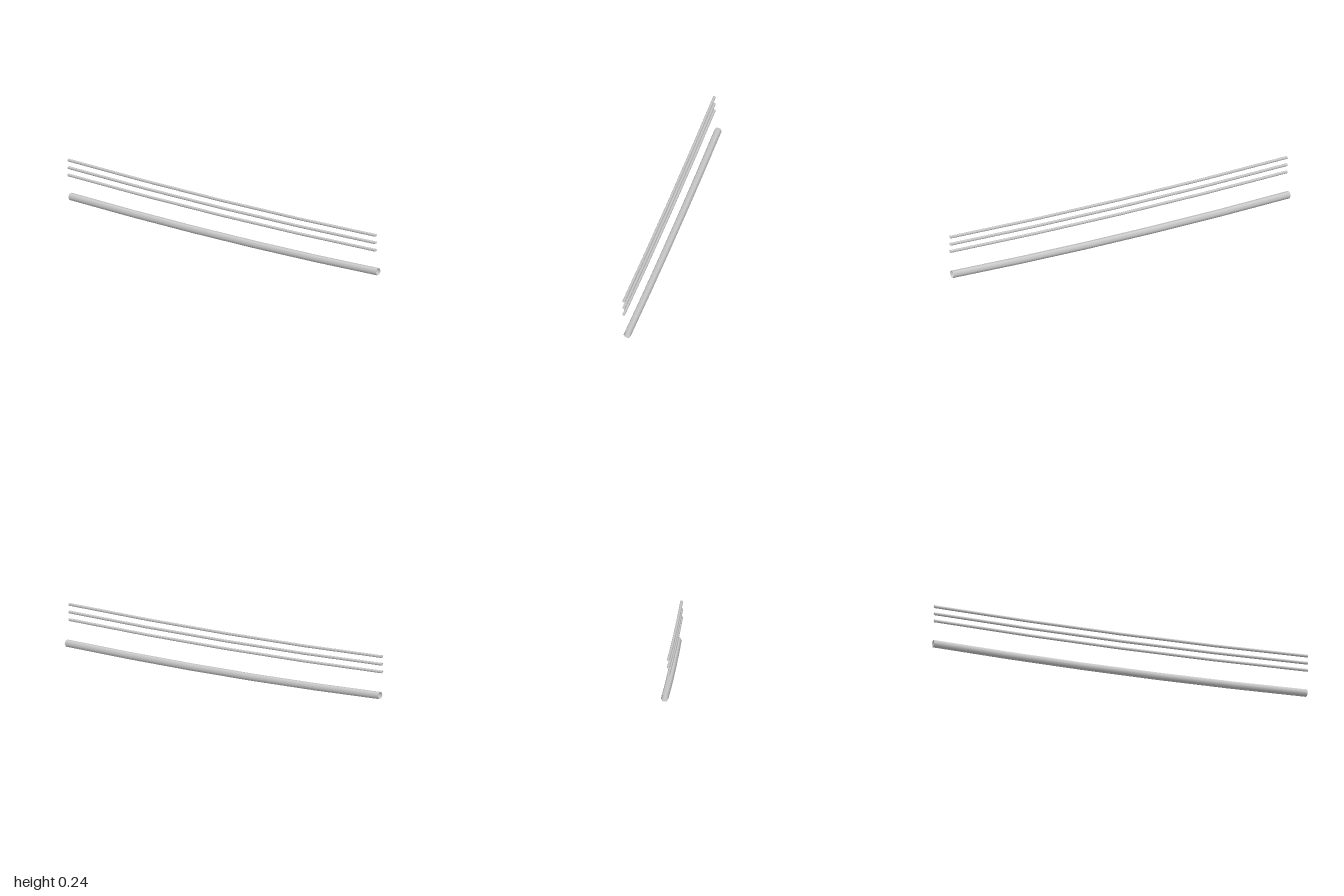
import * as THREE from 'three';

const material = new THREE.MeshStandardMaterial({ color: 0xcccccc, side: THREE.DoubleSide });

// Open six-sided tube along x that sags as a parabola towards its middle
function cable(name, radius, segments, endY, sag, z) {
  const geometry = new THREE.CylinderGeometry(radius, radius, 2, 6, segments, true);
  geometry.rotateZ(-Math.PI / 2);
  const p = geometry.attributes.position;
  for (let i = 0; i < p.count; i++) {
    const x = p.getX(i);
    p.setY(i, p.getY(i) + endY - sag * (1 - x * x));
  }
  const mesh = new THREE.Mesh(geometry, material);
  mesh.name = name;
  mesh.position.z = z;
  return mesh;
}

export function createModel() {
  const group = new THREE.Group();
  group.name = 'overheadCables';

  // Thick lower cable
  group.add(cable('thickCable', 0.0195, 5, 0.033, 0.0167, -0.003));

  // Three thin wires stacked above it
  for (let i = 0; i < 3; i++) {
    group.add(cable('thinWire' + (i + 1), 0.0075, 4, 0.153 + i * 0.04, 0.015, 0.016));
  }
  return group;
}
